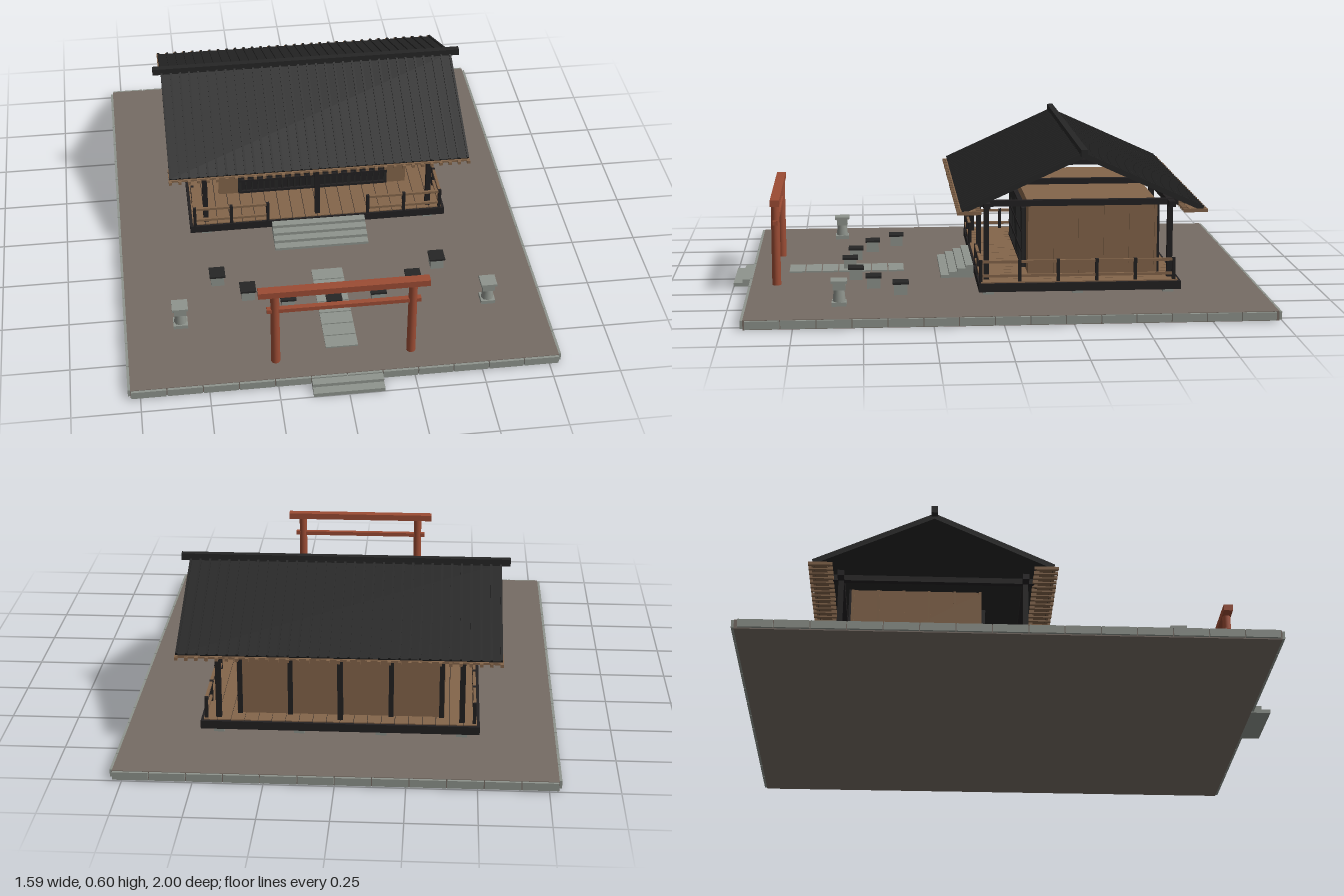
import * as THREE from 'three';

const mat = (name, color) => {
  const m = new THREE.MeshStandardMaterial({ color });
  m.name = name;
  return m;
};

export function createModel() {
  const earth = mat('earth', 0x766c64), stone = mat('stone', 0x8f948d);
  const roofBlack = mat('roof black', 0x262626), timber = mat('dark timber', 0x222021);
  const wood = mat('wood', 0x84654a), red = mat('red paint', 0x9c4c34);

  const model = new THREE.Group();
  model.name = 'hallAndGrounds';
  const group = (name, parent = model) => {
    const g = new THREE.Group();
    g.name = name;
    parent.add(g);
    return g;
  };
  // box given by its limits on each axis
  const box = (parent, name, m, x0, x1, y0, y1, z0, z1) => {
    const mesh = new THREE.Mesh(new THREE.BoxGeometry(x1 - x0, y1 - y0, z1 - z0), m);
    mesh.position.set((x0 + x1) / 2, (y0 + y1) / 2, (z0 + z1) / 2);
    mesh.name = name;
    parent.add(mesh);
    return mesh;
  };
  // upright square post
  const post = (parent, name, m, x, z, w, y0, y1) =>
    box(parent, name, m, x - w / 2, x + w / 2, y0, y1, z - w / 2, z + w / 2);

  // ground slab with a kerb of separate stones
  const ground = group('ground');
  box(ground, 'groundSlab', earth, -0.785, 0.785, 0, 0.035, -0.99, 0.925);
  for (let i = 0; i < 12; i++) {
    const x = -0.785 + i * 1.57 / 12;
    box(ground, 'kerbStone', stone, x + 0.002, x + 0.129, 0.004, 0.033, 0.92, 0.935);
    box(ground, 'kerbStone', stone, x + 0.002, x + 0.129, 0.004, 0.033, -1, -0.985);
  }
  for (let i = 0; i < 15; i++) {
    const z = -0.98 + i * 1.9 / 15;
    for (const s of [-1, 1]) {
      const k = box(ground, 'kerbStone', stone, -0.0075, 0.0075, 0.004, 0.033, z + 0.002, z + 0.125);
      k.position.x = s * 0.787;
    }
  }

  // entrance steps and path
  const path = group('path');
  box(path, 'entranceStep', stone, -0.13, 0.13, 0, 0.028, 0.925, 0.966);
  box(path, 'entranceStep', stone, -0.13, 0.13, 0, 0.015, 0.966, 1);
  for (let i = 0; i < 7; i++) {
    const z = 0.34 + i * 0.0645;
    box(path, 'pathSlab', stone, -0.06, 0.06, 0.033, 0.041, z, z + 0.06);
  }

  // gate
  const gate = group('gate');
  for (const x of [-0.25, 0.25]) {
    const p = new THREE.Mesh(new THREE.CylinderGeometry(0.016, 0.017, 0.32, 12), red);
    p.position.set(x, 0.193, 0.828);
    p.name = 'gatePost';
    gate.add(p);
  }
  box(gate, 'gateLintel', red, -0.31, 0.31, 0.347, 0.372, 0.81, 0.845);
  box(gate, 'gateTieBeam', red, -0.28, 0.28, 0.271, 0.287, 0.818, 0.838);

  // seven low stones in an arc, each with a dark cap
  const arc = group('cappedStones');
  for (const [x, z] of [[0, 0.55], [0.172, 0.527], [0.318, 0.46], [0.427, 0.36]]) {
    for (const s of x ? [-1, 1] : [1]) {
      post(arc, 'stoneBlock', stone, s * x, z, 0.05, 0.033, 0.076);
      post(arc, 'stoneCap', roofBlack, s * x, z, 0.06, 0.076, 0.084);
    }
  }

  // stone lanterns
  for (const x of [-0.583, 0.583]) {
    const lantern = group('stoneLantern');
    post(lantern, 'lanternBase', stone, x, 0.587, 0.054, 0.033, 0.05);
    const shaft = new THREE.Mesh(new THREE.CylinderGeometry(0.019, 0.024, 0.05, 8), stone);
    shaft.position.set(x, 0.073, 0.587);
    shaft.name = 'lanternShaft';
    lantern.add(shaft);
    post(lantern, 'lanternBox', stone, x, 0.587, 0.046, 0.094, 0.12);
    post(lantern, 'lanternCap', stone, x, 0.587, 0.06, 0.12, 0.13);
  }

  // raised deck on short stone feet
  const deck = group('deck');
  box(deck, 'deckFrame', timber, -0.51, 0.51, 0.055, 0.086, -0.68, 0.073);
  for (const x of [-0.445, -0.15, 0.15, 0.445])
    for (const z of [-0.64, -0.3, 0.035]) post(deck, 'deckFoot', stone, x, z, 0.04, 0.033, 0.056);
  for (let i = 0; i < 20; i++) {
    const x = -0.5 + i * 0.05;
    box(deck, 'deckBoard', wood, x + 0.001, x + 0.049, 0.084, 0.09, -0.67, 0.065);
  }
  for (let i = 0; i < 4; i++)
    box(deck, 'hallStep', stone, -0.185, 0.185, 0.033, 0.046 + i * 0.0125, 0.074, 0.2 - i * 0.032);

  // veranda posts and the beams they carry
  const frame = group('postFrame');
  for (const z of [-0.645, 0.042]) {
    for (const x of [-0.445, 0, 0.445]) post(frame, 'verandaPost', timber, x, z, 0.02, 0.086, 0.37);
    box(frame, 'longBeam', timber, -0.5, 0.5, 0.364, 0.386, z - 0.012, z + 0.012);
  }
  for (const x of [-0.445, 0, 0.445])
    box(frame, 'crossBeam', timber, x - 0.011, x + 0.011, 0.366, 0.388, -0.675, 0.073);

  // railings along both sides and the front corners
  const rails = group('railing');
  for (const s of [-1, 1]) {
    for (let i = 0; i < 6; i++) post(rails, 'railPost', timber, s * 0.49, 0.065 - i * 0.144, 0.012, 0.086, 0.172);
    for (const x of [0.345, 0.2]) post(rails, 'railPost', timber, s * x, 0.065, 0.012, 0.086, 0.172);
    for (const y of [0.112, 0.165]) {
      box(rails, 'sideRail', wood, s * 0.49 - 0.005, s * 0.49 + 0.005, y - 0.005, y + 0.005, -0.66, 0.07);
      const r = box(rails, 'frontRail', wood, -0.145, 0.145, y - 0.005, y + 0.005, 0.06, 0.07);
      r.position.x = s * 0.345;
    }
  }

  // enclosed hall
  const hall = group('hall');
  box(hall, 'hallWalls', wood, -0.375, 0.375, 0.088, 0.366, -0.608, -0.12);
  for (const s of [-1, 1])
    for (let i = 0; i < 6; i++) {
      const z = -0.603 + i * 0.0955;
      post(hall, 'sideBatten', wood, s * 0.376, z, 0.01, 0.088, 0.366);
    }
  for (const x of [-0.37, -0.185, 0, 0.185, 0.37]) post(hall, 'backPost', timber, x, -0.608, 0.018, 0.088, 0.366);

  // lattice doors
  const doors = group('latticeDoors', hall);
  box(doors, 'doorPanel', timber, -0.3, 0.3, 0.1, 0.33, -0.121, -0.112);
  for (let i = 0; i <= 24; i++) {
    const x = -0.296 + i * 0.592 / 24, w = i % 6 ? 0.003 : 0.007;
    box(doors, 'doorBar', roofBlack, x - w, x + w, 0.1, 0.33, -0.113, -0.104);
  }
  for (const y of [0.105, 0.16, 0.235, 0.325])
    box(doors, 'doorRail', timber, -0.3, 0.3, y - 0.005, y + 0.005, -0.113, -0.102);

  // roof: two identical slopes about the ridge line
  const roof = group('roof');
  roof.position.z = -0.302;
  const angle = Math.atan2(0.205, 0.45), length = 0.486;
  for (const turn of [0, Math.PI]) {
    const half = group('roofSlope', roof);
    half.rotation.y = turn;
    const slope = group('roofPanel', half);
    slope.position.y = 0.578;
    slope.rotation.x = angle;
    box(slope, 'roofSheet', roofBlack, -0.583, 0.583, -0.012, 0.002, 0, length);
    for (let i = 0; i <= 32; i++) {
      const x = -0.579 + i * 1.158 / 32;
      box(slope, 'roofRib', roofBlack, x - 0.004, x + 0.004, 0, 0.008, 0, length);
    }
    // eave board and rafter ends
    box(half, 'eaveBoard', wood, -0.585, 0.585, 0.366, 0.374, 0.39, 0.448);
    for (let i = 0; i <= 32; i++) {
      const x = -0.58 + i * 1.16 / 32;
      box(half, 'rafterEnd', wood, x - 0.006, x + 0.006, 0.361, 0.373, 0.37, 0.459);
    }
  }
  box(roof, 'ridgeCap', roofBlack, -0.615, 0.615, 0.574, 0.6, -0.012, 0.012);

  return model;
}
